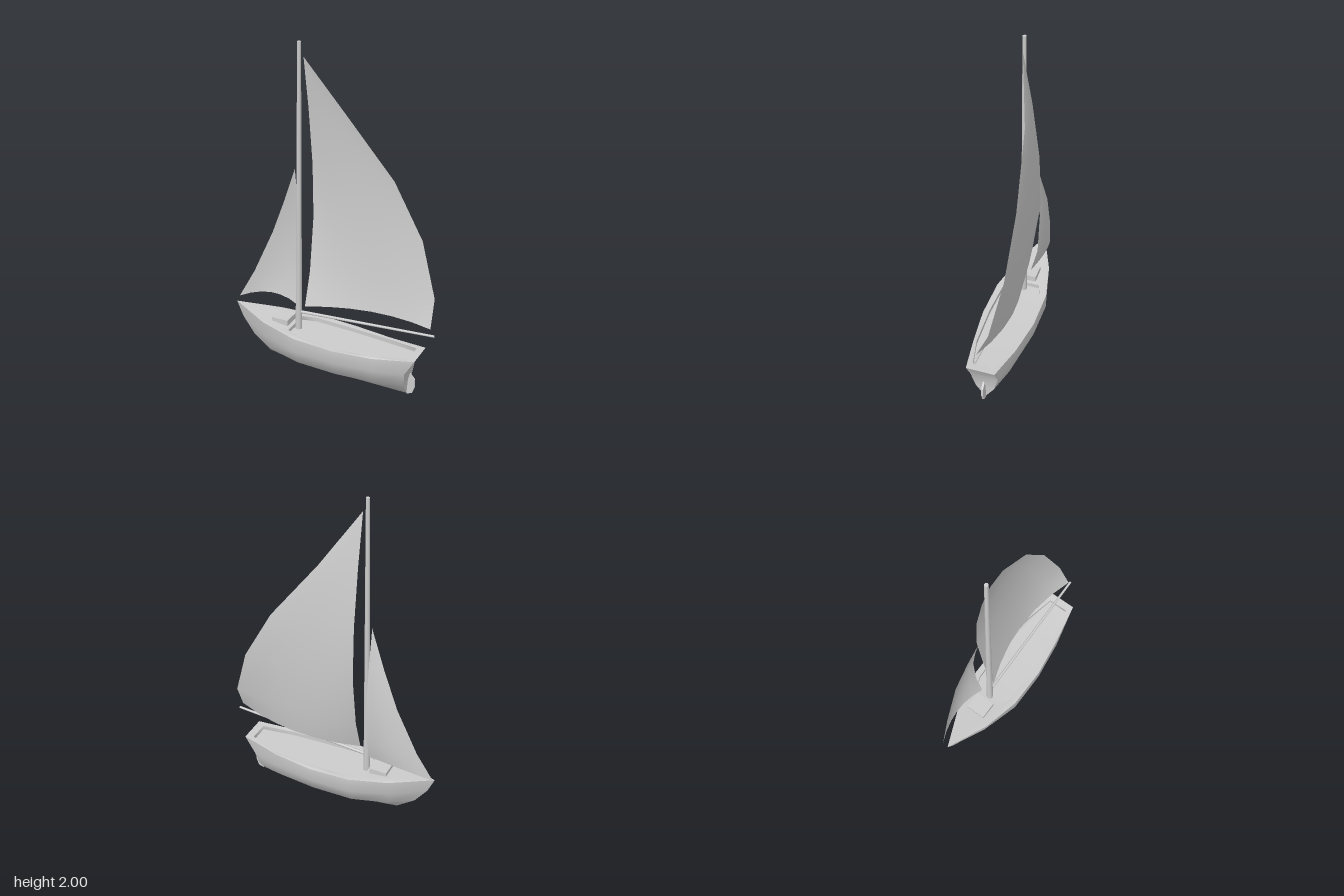
import * as THREE from 'three';

const grey = new THREE.MeshStandardMaterial({ color: 0xcccccc, side: THREE.DoubleSide });
grey.name = 'light grey';

// Smooth surface through rows of equally many [x, y, z] points
function loft(rows) {
  const n = rows[0].length, index = [];
  for (let r = 0; r < rows.length - 1; r++)
    for (let i = 0; i < n - 1; i++) {
      const a = r * n + i, b = a + n;
      index.push(a, b, a + 1, a + 1, b, b + 1);
    }
  const g = new THREE.BufferGeometry();
  g.setAttribute('position', new THREE.Float32BufferAttribute(rows.flat(2), 3));
  g.setIndex(index);
  g.computeVertexNormals();
  return g;
}

// Tapered round pole between two points
function pole(from, to, r0, r1) {
  const a = new THREE.Vector3(...from), b = new THREE.Vector3(...to);
  const dir = b.clone().sub(a);
  const g = new THREE.CylinderGeometry(r1, r0, dir.length(), 8);
  g.applyQuaternion(new THREE.Quaternion().setFromUnitVectors(new THREE.Vector3(0, 1, 0), dir.normalize()));
  const c = a.add(b).multiplyScalar(0.5);
  return g.translate(c.x, c.y, c.z);
}

// Sail from pairs of edge points; belly pushes the middle towards -z
function sail(pairs, lift = 0) {
  return loft(pairs.map(([a, b, belly], r) => {
    const row = [];
    for (let i = 0; i <= 6; i++) {
      const t = i / 6, k = 4 * t * (1 - t);
      const p = a.map((v, j) => v + (b[j] - v) * t);
      row.push([p[0], p[1] + (r === 0 ? lift * k : 0), p[2] - belly * k]);
    }
    return row;
  }));
}

const mirror = row => row.map(([x, y, z]) => [x, y, -z]);

export function createModel() {
  const model = new THREE.Group();
  const add = (name, geometry) => {
    const m = new THREE.Mesh(geometry, grey);
    m.name = name;
    model.add(m);
    return m;
  };

  // Hull lines from bow to stern: sheer, waist, bilge, keel
  const sheer = [[-0.645, 0.33, 0], [-0.4, 0.295, 0.105], [-0.17, 0.274, 0.158], [0.08, 0.262, 0.16], [0.32, 0.262, 0.13], [0.56, 0.284, 0.085]];
  const lines = [
    sheer,
    [[-0.605, 0.235, 0], [-0.4, 0.2, 0.092], [-0.17, 0.185, 0.158], [0.08, 0.18, 0.16], [0.32, 0.18, 0.13], [0.5, 0.18, 0.083]],
    [[-0.53, 0.13, 0], [-0.39, 0.1, 0.056], [-0.17, 0.085, 0.108], [0.08, 0.08, 0.112], [0.32, 0.08, 0.092], [0.49, 0.085, 0.055]],
    [[-0.42, 0.045, 0], [-0.34, 0.03, 0], [-0.18, 0.007, 0], [0.08, 0.005, 0], [0.32, 0.005, 0], [0.485, 0.005, 0]],
  ];
  add('hull', loft([...lines, ...lines.slice(0, 3).reverse().map(mirror)]));

  // Transom closes the stern
  add('transom', loft(lines.map(l => {
    const [x, y, z] = l[l.length - 1];
    return [[x, y, z], [x, y, -z]];
  })));

  // Deck follows the sheer and has an opening for the cockpit
  const sheerY = x => {
    let i = 1;
    while (i < sheer.length - 1 && x > sheer[i][0]) i++;
    const a = sheer[i - 1], b = sheer[i];
    return a[1] + (b[1] - a[1]) * (x - a[0]) / (b[0] - a[0]);
  };
  const half = [[-0.24, 0.09], [-0.16, 0.12], [0.05, 0.127], [0.32, 0.11], [0.515, 0.06]];
  const ring = side => [...side.map(([x, z]) => new THREE.Vector2(x, z)),
    ...side.map(([x, z]) => new THREE.Vector2(x, -z)).reverse()];
  const lay = (shape, drop) => {
    const g = new THREE.ShapeGeometry(shape), p = g.attributes.position;
    for (let i = 0; i < p.count; i++) p.setXYZ(i, p.getX(i), sheerY(p.getX(i)) - drop, p.getY(i));
    g.computeVertexNormals();
    return g;
  };
  const opening = ring(half);
  const deck = new THREE.Shape(ring(sheer.map(([x, , z]) => [x, z])).slice(0, -1));
  deck.holes.push(new THREE.Path(opening));
  add('deck', lay(deck, 0));
  const depth = 0.025;
  add('cockpitFloor', lay(new THREE.Shape(opening), depth));
  const loop = [...opening, opening[0]];
  add('cockpitWall', loft([0, depth].map(d => loop.map(p => [p.x, sheerY(p.x) - d, p.y]))));

  // Hatch on the foredeck
  add('hatch', new THREE.BoxGeometry(0.105, 0.045, 0.12)).position.set(-0.315, 0.297, 0);

  // Rudder blade
  const blade = new THREE.Shape([[0.488, 0.005], [0.522, 0.018], [0.537, 0.06], [0.535, 0.11], [0.505, 0.145], [0.495, 0.1]]
    .map(p => new THREE.Vector2(...p)));
  add('rudder', new THREE.ExtrudeGeometry(blade, { depth: 0.012, bevelEnabled: false }).translate(0, 0, -0.006));

  // Spars
  add('mast', pole([-0.218, 0.25, 0], [-0.19, 2, 0], 0.02, 0.011));
  add('boom', pole([-0.2, 0.368, 0], [0.64, 0.426, 0], 0.009, 0.007));

  // Mainsail: luff point, leech point, belly
  add('mainsail', sail([
    [[-0.175, 0.41, 0], [0.615, 0.465, 0], 0.075],
    [[-0.173, 0.62, -0.065], [0.606, 0.62, -0.07], 0.04],
    [[-0.171, 0.95, -0.11], [0.5, 0.93, -0.125], 0.008],
    [[-0.169, 1.28, -0.1], [0.32, 1.25, -0.13], 0.008],
    [[-0.167, 1.62, -0.055], [0.05, 1.6, -0.085], 0.005],
    [[-0.165, 1.92, 0], [-0.165, 1.92, 0], 0],
  ]));

  // Jib: forward edge, after edge, belly
  add('jib', sail([
    [[-0.645, 0.35, -0.033], [-0.245, 0.385, -0.035], 0.04],
    [[-0.55, 0.53, -0.06], [-0.245, 0.55, -0.075], 0.025],
    [[-0.425, 0.81, -0.075], [-0.245, 0.82, -0.085], 0.006],
    [[-0.33, 1.04, -0.055], [-0.244, 1.05, -0.06], 0.003],
    [[-0.243, 1.26, -0.027], [-0.243, 1.26, -0.027], 0],
  ], 0.035));

  return model;
}
